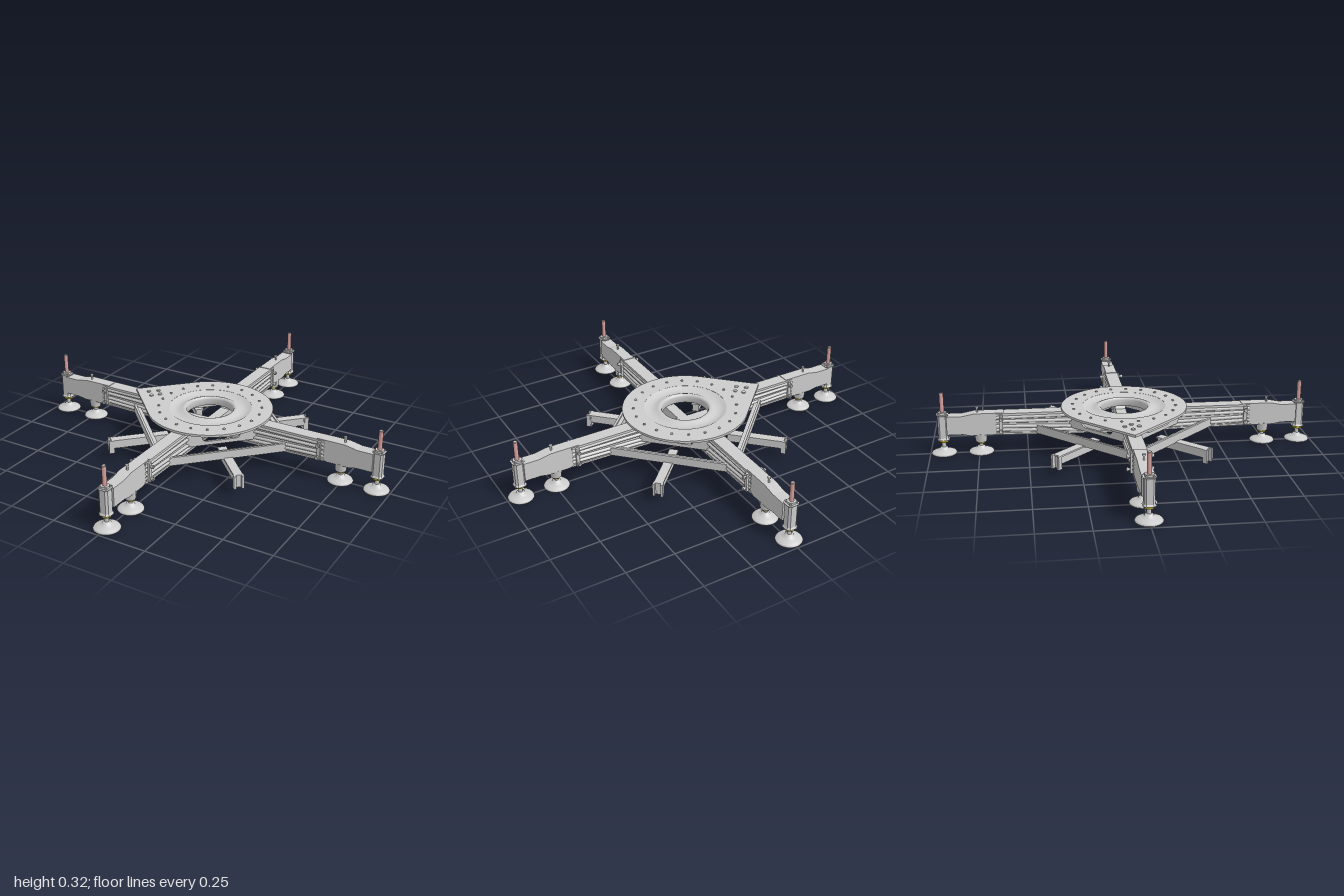
import * as THREE from 'three';

const grey = new THREE.MeshStandardMaterial({ color: 0xcccccc, side: THREE.DoubleSide });
const red = new THREE.MeshStandardMaterial({ color: 0xd9a3a0 });
const yellow = new THREE.MeshStandardMaterial({ color: 0xb8a422 });

function add(parent, name, geo, x = 0, y = 0, z = 0, mat = grey) {
  const m = new THREE.Mesh(geo, mat);
  m.name = name;
  m.position.set(x, y, z);
  parent.add(m);
  return m;
}
const box = (w, h, d) => new THREE.BoxGeometry(w, h, d);
const cyl = (r, h, n = 16, r2 = r) => new THREE.CylinderGeometry(r, r2, h, n);

// Closed outline from points
function outline(pts) {
  return new THREE.Shape(pts.map(p => new THREE.Vector2(p[0], p[1])));
}

// Side profile extruded symmetrically about z = 0
function slab(shape, width) {
  return new THREE.ExtrudeGeometry(shape, { depth: width, bevelEnabled: false, curveSegments: 24 })
    .translate(0, 0, -width / 2);
}

// Straight round bar between two points
function rod(a, b, r) {
  return new THREE.TubeGeometry(new THREE.LineCurve3(new THREE.Vector3(...a), new THREE.Vector3(...b)), 1, r, 8);
}

// Domed foot pad with its stem
function makeFoot(x, stemTop) {
  const g = new THREE.Group();
  g.name = 'foot';
  g.position.x = x;
  const pts = [[0, 0.004], [0.045, 0.004], [0.062, 0], [0.065, 0.005], [0.06, 0.012],
    [0.04, 0.02], [0.022, 0.026], [0.02, 0.034], [0.011, 0.038], [0, 0.038]];
  add(g, 'footPad', new THREE.LatheGeometry(pts.map(p => new THREE.Vector2(...p)), 32));
  add(g, 'footStem', cyl(0.011, stemTop - 0.03), 0, (stemTop + 0.03) / 2, 0);
  return g;
}

function makeArm() {
  const arm = new THREE.Group();
  arm.name = 'arm';
  // Inner beam, lower where it crosses beneath the opening
  add(arm, 'innerBeam', slab(outline([[0, 0.095], [0.34, 0.1], [0.66, 0.115], [0.66, 0.207],
    [0.3, 0.212], [0.2, 0.21], [0.16, 0.15], [0, 0.15]]), 0.056));
  add(arm, 'topFlange', box(0.46, 0.012, 0.07), 0.43, 0.208, 0);
  add(arm, 'bottomFlange', box(0.66, 0.01, 0.066), 0.33, 0.1, 0).rotation.z = 0.02;
  // Outer beam and deeper knee section
  add(arm, 'outerBeam', slab(outline([[0.62, 0.112], [0.68, 0.1], [0.79, 0.1], [0.83, 0.108],
    [0.91, 0.108], [0.91, 0.205], [0.83, 0.205], [0.77, 0.217], [0.62, 0.217]]), 0.062));
  // Ribs and clamp along both flanks
  for (const s of [-1, 1]) {
    for (const [y0, y1] of [[0.194, 0.192], [0.166, 0.172], [0.132, 0.147], [0.113, 0.127]]) {
      add(arm, 'sideRib', rod([0.24, y0, s * 0.029], [0.66, y1, s * 0.029], 0.009));
    }
    add(arm, 'clampPlate', box(0.018, 0.1, 0.012), 0.635, 0.157, s * 0.041);
    for (const y of [0.125, 0.19]) {
      add(arm, 'clampBolt', cyl(0.006, 0.04, 8), 0.635, y, s * 0.046).rotation.x = Math.PI / 2;
      add(arm, 'clampNut', cyl(0.011, 0.008, 6), 0.635, y, s * 0.059).rotation.x = Math.PI / 2;
    }
  }
  // Locking pin
  add(arm, 'pin', cyl(0.005, 0.035, 10), 0.755, 0.228, 0);
  add(arm, 'pinHead', cyl(0.009, 0.007, 10), 0.755, 0.242, 0);
  // Inner foot and socket
  add(arm, 'innerFootSocket', cyl(0.034, 0.045, 8, 0.028), 0.74, 0.082, 0);
  add(arm, 'innerFootCollar', cyl(0.019, 0.012, 16), 0.74, 0.056, 0, yellow);
  arm.add(makeFoot(0.74, 0.07));
  // Jack housing with chamfered corners
  const a = 0.031, c = 0.018;
  const jack = new THREE.ExtrudeGeometry(outline([[-a, -c], [-c, -a], [c, -a], [a, -c],
    [a, c], [c, a], [-c, a], [-a, c]]), { depth: 0.115, bevelEnabled: true, bevelSegments: 1, bevelSize: -0.006, bevelThickness: 0.01, bevelOffset: 0 });
  add(arm, 'jackHousing', jack.rotateX(-Math.PI / 2), 0.93, 0.088, 0);
  add(arm, 'jackCap', cyl(0.022, 0.014, 16), 0.93, 0.217, 0);
  for (const sx of [-1, 1]) for (const sz of [-1, 1]) {
    add(arm, 'capBolt', cyl(0.005, 0.008, 6), 0.93 + sx * 0.018, 0.216, sz * 0.018);
  }
  add(arm, 'jackScrew', cyl(0.011, 0.1, 16), 0.93, 0.272, 0, red);
  add(arm, 'screwHead', cyl(0.009, 0.006, 8), 0.93, 0.322, 0);
  add(arm, 'jackNut', cyl(0.025, 0.014, 8), 0.93, 0.072, 0, yellow);
  arm.add(makeFoot(0.93, 0.08));
  return arm;
}

// Parts lying on the diagonal between two arms
function makeQuadrant() {
  const q = new THREE.Group();
  q.name = 'quadrant';
  add(q, 'diagonalBrace', box(0.032, 0.036, 0.64), 0.33, 0.12, 0);
  add(q, 'braceLip', box(0.012, 0.012, 0.64), 0.34, 0.14, 0);
  // Web plate with a rounded window
  const web = outline([[-0.21, 0.125], [0.21, 0.125], [0.21, 0.214], [-0.21, 0.214]]);
  const win = new THREE.Path();
  win.absarc(0.075, 0.168, 0.024, -Math.PI / 2, Math.PI / 2, false);
  win.absarc(-0.075, 0.168, 0.024, Math.PI / 2, Math.PI * 1.5, false);
  web.holes.push(win);
  add(q, 'webPlate', slab(web, 0.012).rotateY(Math.PI / 2), 0.215, 0, 0);
  // Outrigger stub with its end flange
  add(q, 'stubBeam', box(0.29, 0.042, 0.036), 0.375, 0.082, 0);
  add(q, 'stubTop', box(0.3, 0.008, 0.046), 0.375, 0.103, 0);
  for (const s of [-1, 1]) {
    add(q, 'stubEndCheek', box(0.022, 0.07, 0.012), 0.527, 0.072, s * 0.02);
  }
  add(q, 'stubEndPlate', box(0.008, 0.07, 0.046), 0.515, 0.072, 0);
  return q;
}

function makeTurntable() {
  const t = new THREE.Group();
  t.name = 'turntable';
  // Teardrop plate
  const plate = new THREE.Shape();
  plate.absarc(0, 0, 0.325, -Math.PI * 0.75, Math.PI * 0.75, false);
  plate.lineTo(-0.46, 0);
  plate.closePath();
  const hole = new THREE.Path();
  hole.absarc(0, 0, 0.215, 0, Math.PI * 2, true);
  plate.holes.push(hole);
  const geo = new THREE.ExtrudeGeometry(plate, { depth: 0.012, bevelEnabled: false, curveSegments: 64 });
  add(t, 'teardropPlate', geo.rotateX(-Math.PI / 2), 0, 0.214, 0);
  // Dished ring around the opening
  const ring = [[0.22, 0.214], [0.22, 0.226], [0.213, 0.225], [0.2, 0.217], [0.18, 0.211], [0.16, 0.213],
    [0.145, 0.221], [0.133, 0.225], [0.124, 0.222], [0.12, 0.213], [0.12, 0.18], [0.13, 0.18],
    [0.14, 0.198], [0.2, 0.202], [0.22, 0.214]];
  add(t, 'dishedRing', new THREE.LatheGeometry(ring.map(p => new THREE.Vector2(...p)), 64));
  // Bolt circle
  for (let i = 0; i < 20; i++) {
    const a = (i + 0.5) / 20 * Math.PI * 2;
    add(t, 'plateBolt', cyl(0.007, 0.006, 8), 0.267 * Math.cos(a), 0.228, 0.267 * Math.sin(a));
  }
  // Fittings on the pointed corner
  for (const [x, z] of [[-0.34, 0.035], [-0.34, -0.035], [-0.38, 0], [-0.31, 0]]) {
    add(t, 'cornerStud', cyl(0.011, 0.007, 12), x, 0.228, z);
  }
  return t;
}

export function createModel() {
  const model = new THREE.Group();
  model.name = 'crossBase';
  for (let i = 0; i < 4; i++) {
    const arm = makeArm();
    arm.rotation.y = i * Math.PI / 2;
    const quadrant = makeQuadrant();
    quadrant.rotation.y = (i + 0.5) * Math.PI / 2;
    model.add(arm, quadrant);
  }
  model.add(makeTurntable());
  return model;
}
